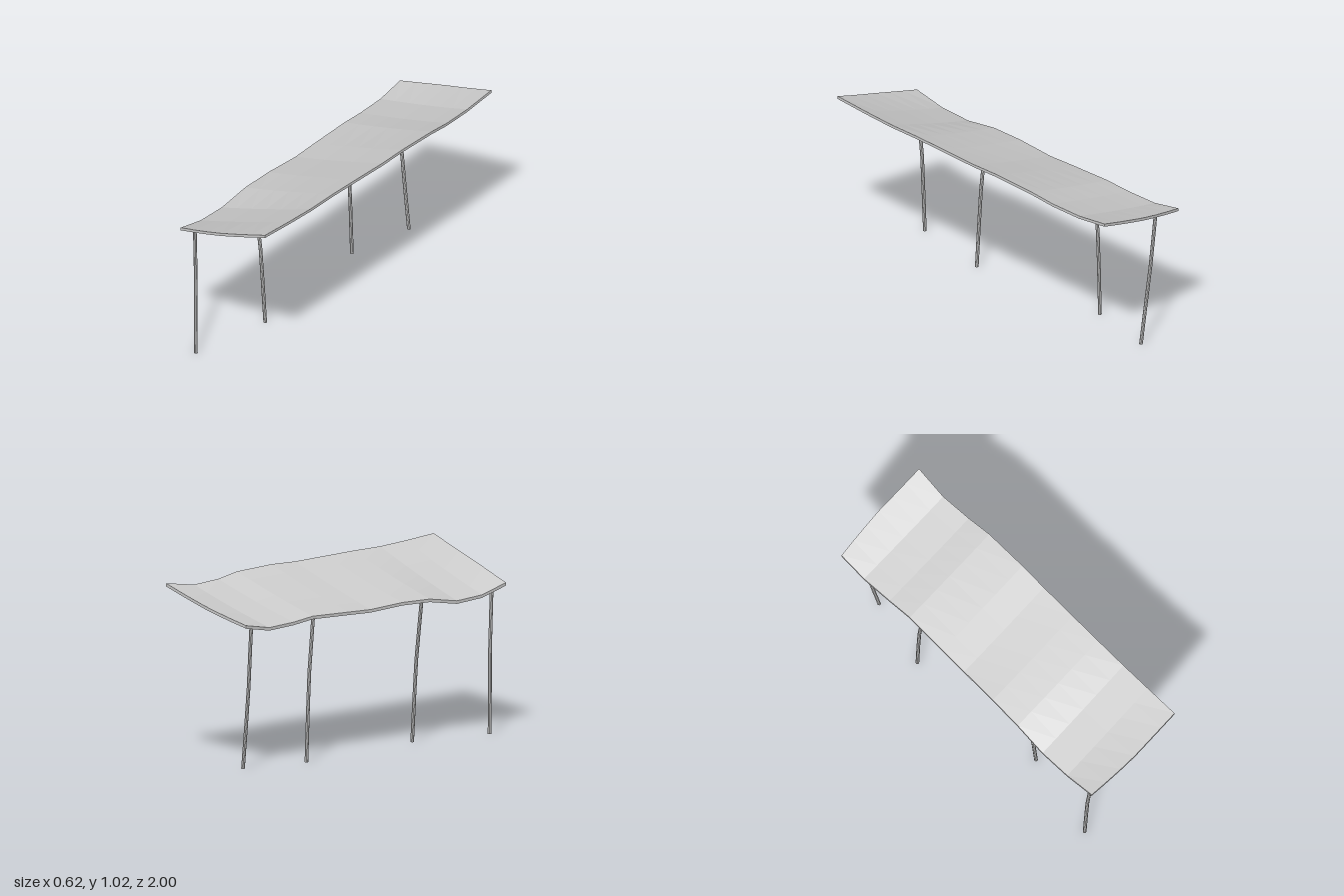
import * as THREE from 'three';

const material = new THREE.MeshStandardMaterial({ color: 0xcccccc, flatShading: true });

// Canopy cross-sections: z, low edge x and y, high edge x and y (upper surface)
const ROWS = [
  [1.0, -0.305, 0.832, 0.30, 1.025],
  [0.79, -0.312, 0.787, 0.30, 1.010],
  [0.6, -0.315, 0.777, 0.30, 1.000],
  [0.4, -0.31, 0.810, 0.30, 1.000],
  [0.2, -0.305, 0.814, 0.302, 0.996],
  [-0.03, -0.30, 0.802, 0.305, 0.991],
  [-0.2, -0.30, 0.808, 0.308, 0.996],
  [-0.46, -0.297, 0.816, 0.308, 0.987],
  [-0.61, -0.305, 0.802, 0.297, 0.965],
  [-0.8, -0.315, 0.796, 0.287, 0.957],
  [-1.0, -0.317, 0.828, 0.297, 0.987],
];
const COLS = 6, THICK = 0.017;

// Thin rippled sheet: each section is a closed loop, upper side then lower side
function canopyGeometry() {
  const pos = [], idx = [], loop = 2 * (COLS + 1);
  ROWS.forEach(([z, xl, yl, xr, yr], r) => {
    const end = r === 0 || r === ROWS.length - 1;
    for (let k = 0; k < loop; k++) {
      const upper = k <= COLS;
      const t = (upper ? k : loop - 1 - k) / COLS;
      const sag = 0.006 * 4 * t * (1 - t);
      const inset = end ? 0.025 * Math.max(0, 1 - 2 * t) ** 1.3 : 0;
      pos.push(
        THREE.MathUtils.lerp(xl, xr, t),
        THREE.MathUtils.lerp(yl, yr, t) - sag - (upper ? 0 : THICK),
        z - Math.sign(z) * inset
      );
    }
  });
  for (let r = 0; r < ROWS.length - 1; r++) {
    for (let k = 0; k < loop; k++) {
      const a = r * loop + k, b = r * loop + (k + 1) % loop;
      idx.push(a, b, a + loop, b, b + loop, a + loop);
    }
  }
  // End rims
  const last = (ROWS.length - 1) * loop;
  for (let k = 0; k < COLS; k++) {
    const a = k, b = k + 1, c = loop - 2 - k, d = loop - 1 - k;
    idx.push(a, d, b, b, d, c);
    idx.push(last + a, last + b, last + d, last + b, last + c, last + d);
  }
  const g = new THREE.BufferGeometry();
  g.setAttribute('position', new THREE.Float32BufferAttribute(pos, 3));
  g.setIndex(idx);
  g.computeVertexNormals();
  return g;
}

// Crooked pole: horizontal rings stacked along a bent path
function poleGeometry(path, radius = 0.01, sides = 8) {
  const g = new THREE.CylinderGeometry(radius, radius, 1, sides, path.length - 1);
  const p = g.attributes.position, n = path.length - 1;
  for (let i = 0; i < p.count; i++) {
    const [x, y, z] = path[Math.round((0.5 - p.getY(i)) * n)];
    p.setXYZ(i, p.getX(i) + x, y, p.getZ(i) + z);
  }
  g.computeVertexNormals();
  return g;
}

// Pole paths from top to ground
const POLES = [
  [[-0.25, 0.806, 0.92], [-0.255, 0.67, 0.91], [-0.262, 0.46, 0.896], [-0.267, 0.25, 0.891], [-0.271, 0, 0.884]],
  [[-0.248, 0.806, 0.4], [-0.228, 0.65, 0.4], [-0.204, 0.46, 0.4], [-0.189, 0.26, 0.4], [-0.171, 0, 0.4]],
  [[-0.248, 0.806, -0.41], [-0.247, 0.67, -0.422], [-0.246, 0.5, -0.437], [-0.245, 0.3, -0.446], [-0.243, 0, -0.456]],
  [[-0.248, 0.806, -0.872], [-0.235, 0.67, -0.868], [-0.215, 0.46, -0.861], [-0.188, 0.25, -0.854], [-0.155, 0, -0.847]],
];

export function createModel() {
  const model = new THREE.Group();
  model.name = 'awning';

  const canopy = new THREE.Mesh(canopyGeometry(), material);
  canopy.name = 'canopy';
  model.add(canopy);

  const poles = new THREE.Group();
  poles.name = 'poles';
  POLES.forEach((path, i) => {
    const pole = new THREE.Mesh(poleGeometry(path), material);
    pole.name = `pole${i + 1}`;
    poles.add(pole);
  });
  model.add(poles);
  return model;
}
